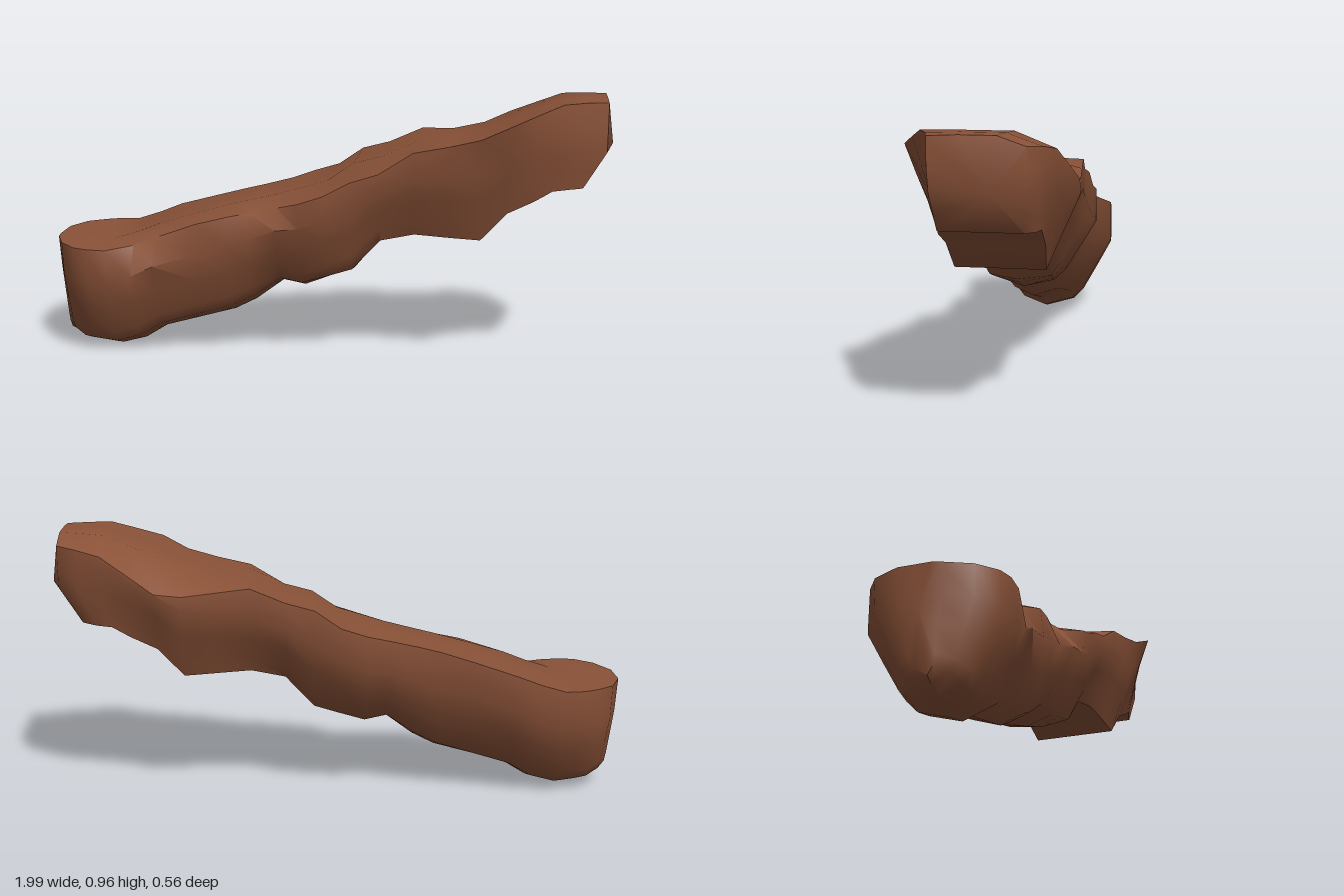
import * as THREE from 'three';
import { toCreasedNormals } from 'three/addons/utils/BufferGeometryUtils.js';

// Outlines along the length, as [x, value] corners
const topEdge = [[-1, 0.415], [-0.78, 0.415], [-0.7, 0.44], [-0.6, 0.48], [-0.36, 0.55], [-0.16, 0.6], [0, 0.65],
  [0.08, 0.71], [0.18, 0.735], [0.31, 0.795], [0.52, 0.83], [0.64, 0.885], [0.82, 0.955], [0.96, 0.957]];
const bottomEdge = [[-1, 0.055], [-0.9, 0.015], [-0.78, 0.0], [-0.69, 0.025], [-0.61, 0.075], [-0.31, 0.16],
  [-0.17, 0.265], [-0.09, 0.25], [0.09, 0.32], [0.19, 0.44], [0.32, 0.475], [0.55, 0.465], [0.62, 0.56],
  [0.79, 0.645], [0.96, 0.655]];
const backEdge = [[-1, -0.1], [-0.96, -0.19], [-0.87, -0.255], [-0.6, -0.275], [-0.45, -0.24], [-0.35, -0.225],
  [-0.2, -0.22], [-0.1, -0.265], [0.2, -0.25], [0.63, -0.28], [0.83, -0.225], [0.93, -0.185], [0.96, -0.16]];
const frontEdge = [[-1, 0.04], [-0.94, 0.18], [-0.84, 0.215], [-0.6, 0.2], [-0.33, 0.175], [-0.07, 0.215],
  [0.1, 0.205], [0.35, 0.22], [0.55, 0.25], [0.63, 0.275], [0.86, 0.16], [0.96, 0.135]];
// How far the front rim is cut back, how much each rim dips below the crown
const frontCut = [[-0.78, 1], [-0.66, 0.65], [-0.45, 0.95], [-0.3, 0.9], [-0.22, 0.65], [-0.09, 1]];
const frontDip = [[-1, 0.005], [-0.78, 0.012], [-0.66, 0.04], [-0.45, 0.02], [-0.22, 0.035], [0, 0.03], [0.13, 0.05],
  [0.31, 0.015], [0.64, 0], [1, 0.005]];
const backDip = [[0.3, 0], [0.45, 0.04], [0.63, 0.1], [0.83, 0.045], [0.96, 0.03]];
// How far the front side tucks in under its rim
const frontTuck = [[0.4, 1], [0.63, 0.86], [0.8, 1]];
// How flat the underside is, and its share of the width
const flatness = [[-0.1, 0], [0.19, 0.7], [0.4, 1], [1, 1]];
const bellyWidth = [[-0.1, 0.42], [0.3, 0.55], [0.63, 0.62], [0.88, 0.85], [0.96, 0.9]];

// One side below the rim: share of the width, share of the height
const side = [[1, 0.68], [0.78, 0.42], [0.57, 0.18], [0.42, 0.08]];

function at(line, x) {
  if (x <= line[0][0]) return line[0][1];
  for (let i = 1; i < line.length; i++) {
    const [x0, v0] = line[i - 1], [x1, v1] = line[i];
    if (x <= x1) return v0 + (v1 - v0) * (x - x0) / (x1 - x0);
  }
  return line[line.length - 1][1];
}

// Cross-section from the crown, over the back rim, under the belly, to the front rim
function section(x) {
  const top = at(topEdge, x), low = at(bottomEdge, x);
  const back = at(backEdge, x), front = at(frontEdge, x);
  const flat = at(flatness, x), belly = at(bellyWidth, x);
  const leanHigh = THREE.MathUtils.clamp((x - 0.72) / 0.24, 0, 1);
  const leanLow = THREE.MathUtils.clamp((-0.9 - x) / 0.1, 0, 1);
  const point = (z, t, drop = 0) => [
    x - leanHigh * Math.max(0, 0.42 - t) * 0.18 + leanLow * (1 - t) * 0.025,
    low + (top - low) * t - drop, z];
  const flank = (edge, tuck) => side.map(([w, t], i) => point(
    edge * tuck * (belly + (w - 0.42) / 0.58 * (1 - belly)),
    i === 3 ? t * (1 - flat) : t));
  return [
    point(back * 0.45, 1),
    point(back, 1, at(backDip, x)),
    ...flank(back, 1),
    point(0, 0),
    ...flank(front, at(frontTuck, x)).reverse(),
    point(front * at(frontCut, x), 1, at(frontDip, x)),
    point(front * 0.3, 1),
  ];
}

function logGeometry() {
  const stations = [-1, -0.96, -0.9, -0.85, -0.78, -0.69, -0.61, -0.46, -0.35, -0.27, -0.17, -0.09, 0, 0.09,
    0.19, 0.31, 0.43, 0.54, 0.63, 0.72, 0.81, 0.89, 0.96];
  const rings = stations.map(section);
  const n = rings[0].length, last = rings.length - 1;
  const positions = rings.flat(2), index = [];
  // Skin around the whole log
  for (let i = 0; i < last; i++) {
    for (let j = 0; j < n; j++) {
      const a = i * n + j, b = i * n + (j + 1) % n, c = a + n, d = b + n;
      index.push(a, c, b, b, c, d);
    }
  }
  // End faces; the high end bulges slightly
  const low = positions.length / 3;
  positions.push(-0.992, 0.27, -0.03, 0.99, 0.785, -0.06);
  for (let j = 0; j < n; j++) {
    const k = (j + 1) % n;
    index.push(low, j, k, low + 1, last * n + k, last * n + j);
  }
  const geometry = new THREE.BufferGeometry();
  geometry.setAttribute('position', new THREE.Float32BufferAttribute(positions, 3));
  geometry.setIndex(index);
  return toCreasedNormals(geometry, 0.95);
}

export function createModel() {
  const group = new THREE.Group();
  group.name = 'slopingLog';
  const brown = new THREE.MeshStandardMaterial({ color: 0x8a5238 });
  brown.name = 'earthBrown';
  const log = new THREE.Mesh(logGeometry(), brown);
  log.name = 'logBody';
  group.add(log);
  return group;
}
